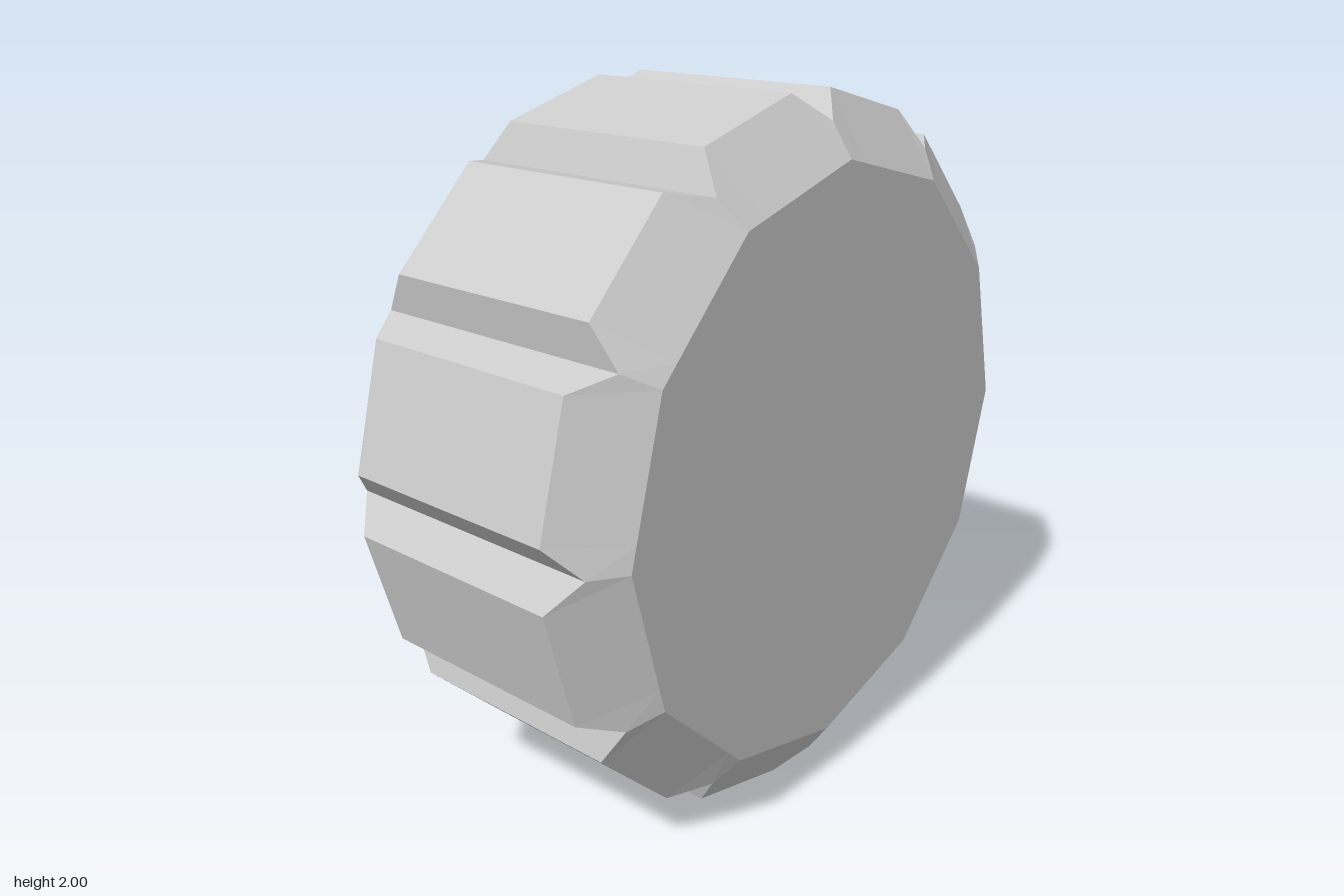
import * as THREE from 'three';

const SIDES = 12;
const STEP = (Math.PI * 2) / SIDES;
const NOTCH = 0.085; // half angle of each tread groove

const material = new THREE.MeshStandardMaterial({ color: 0xcccccc, flatShading: true });

function addPart(parent, name, geometry) {
  const mesh = new THREE.Mesh(geometry, material);
  mesh.name = name;
  parent.add(mesh);
  return mesh;
}

// Cross-section around the x axis: three points per side, as [x, radius, angle].
function section(pointAt) {
  const ring = [];
  for (let k = 0; k < SIDES; k++) {
    for (const a of [0, NOTCH, STEP - NOTCH]) {
      const [x, r] = pointAt(a);
      ring.push([x, r, k * STEP + a]);
    }
  }
  return ring;
}

// Straight-sided polygon section with its corners on the grooves.
const polygon = (x, r) =>
  section((a) => [x, (r * Math.cos(STEP / 2)) / Math.cos(a - STEP / 2)]);

// Shoulder section: groove bottoms sit lower and further out along the axle.
const shoulder = (xValley, xBlock) =>
  section((a) => (a === 0 ? [xValley, 0.93] : [xBlock, 1.005]));

function loft(sections) {
  const n = sections[0].length;
  const positions = [];
  const index = [];
  for (const ring of sections) {
    for (const [x, r, a] of ring) positions.push(x, r * Math.sin(a), r * Math.cos(a));
  }
  for (let i = 0; i < sections.length - 1; i++) {
    for (let j = 0; j < n; j++) {
      const a = i * n + j;
      const b = i * n + ((j + 1) % n);
      index.push(a, b, a + n, b, b + n, a + n);
    }
  }
  const geometry = new THREE.BufferGeometry();
  geometry.setAttribute('position', new THREE.Float32BufferAttribute(positions, 3));
  geometry.setIndex(index);
  geometry.computeVertexNormals();
  return geometry;
}

// Extrude a (z, y) shape from x = -0.365 towards -x.
function extrudeOut(shape, depth) {
  const geometry = new THREE.ExtrudeGeometry(shape, { depth, bevelEnabled: false });
  geometry.translate(0, 0, 0.365);
  geometry.rotateY(-Math.PI / 2);
  return geometry;
}

export function createModel() {
  const model = new THREE.Group();
  model.name = 'wheel';
  const wheel = new THREE.Group();
  wheel.name = 'wheelBody';
  wheel.position.y = 1;
  model.add(wheel);

  // Tyre with grooved tread, chamfered shoulders and closed faces
  addPart(wheel, 'tyre', loft([
    polygon(0.535, 0),
    polygon(0.535, 0.84),
    shoulder(0.475, 0.405),
    shoulder(-0.325, -0.255),
    polygon(-0.365, 0.82),
    polygon(-0.365, 0),
  ]));

  // Raised hub ring with a stepped inner edge
  const profile = [
    [0.69, 0.365], [0.63, 0.465], [0.595, 0.465],
    [0.585, 0.445], [0.56, 0.445], [0.55, 0.42],
  ].map(([r, h]) => new THREE.Vector2(r, h));
  const hub = new THREE.LatheGeometry(profile, SIDES);
  hub.rotateZ(Math.PI / 2);
  addPart(wheel, 'hubRing', hub);

  // Hub plate with two upright slots
  const plate = new THREE.Shape();
  for (let k = 0; k < SIDES; k++) {
    const x = 0.555 * Math.cos(k * STEP);
    const y = 0.555 * Math.sin(k * STEP);
    if (k === 0) plate.moveTo(x, y);
    else plate.lineTo(x, y);
  }
  for (const side of [1, -1]) {
    const y = side * 0.36;
    plate.holes.push(new THREE.Path([
      new THREE.Vector2(-0.05, y - 0.1), new THREE.Vector2(-0.05, y + 0.1),
      new THREE.Vector2(0.05, y + 0.1), new THREE.Vector2(0.05, y - 0.1),
    ]));
  }
  addPart(wheel, 'hubPlate', extrudeOut(plate, 0.06));

  // Latch lever: clipped outer corners and a sloped inner end
  const lever = new THREE.Shape([
    [-0.2, -0.11], [-0.2, 0.11], [-0.67, 0.11],
    [-0.74, 0.07], [-0.74, -0.07], [-0.67, -0.11],
  ].map(([z, y]) => new THREE.Vector2(z, y)));
  const leverGeometry = extrudeOut(lever, 0.175);
  const p = leverGeometry.attributes.position;
  for (let i = 0; i < p.count; i++) {
    if (p.getX(i) < -0.5 && p.getZ(i) > -0.3) p.setZ(i, -0.285);
  }
  leverGeometry.computeVertexNormals();
  addPart(wheel, 'latchLever', leverGeometry);

  return model;
}
